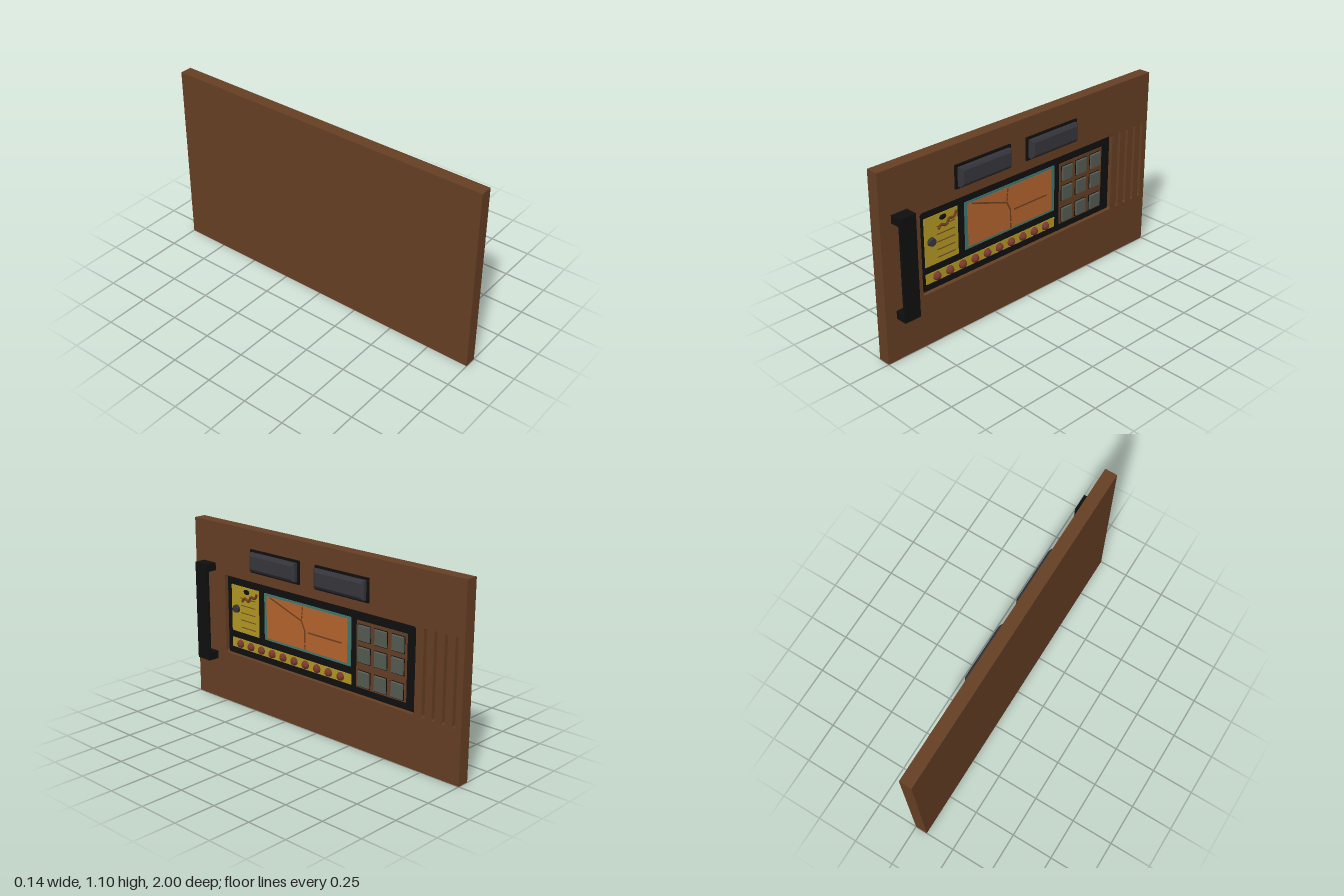
import * as THREE from 'three';

const mat = (name, color) => {
  const m = new THREE.MeshStandardMaterial({ color });
  m.name = name;
  return m;
};

export function createModel() {
  const brown = mat('brown', 0x643e23);
  const black = mat('black', 0x0f0f0f);
  const charcoal = mat('charcoal', 0x35353b);
  const yellow = mat('yellow', 0xb09722);
  const teal = mat('teal', 0x42766b);
  const orange = mat('orange', 0xb2632d);
  const line = mat('darkOrange', 0x70401f);
  const red = mat('darkRed', 0x7a382c);
  const lamp = mat('greyGreen', 0x535b51);

  const model = new THREE.Group();
  model.name = 'controlPanel';
  // Built facing +z, then turned so the face looks along +x
  const panel = new THREE.Group();
  panel.name = 'panel';
  panel.rotation.y = Math.PI / 2;
  model.add(panel);

  const add = (name, geo, m, x = 0, y = 0, z = 0) => {
    const mesh = new THREE.Mesh(geo, m);
    mesh.name = name;
    mesh.position.set(x, y, z);
    panel.add(mesh);
    return mesh;
  };
  // Box from its left, right, bottom, top, back and front limits
  const box = (name, m, x0, x1, y0, y1, z0, z1) =>
    add(name, new THREE.BoxGeometry(x1 - x0, y1 - y0, z1 - z0), m, (x0 + x1) / 2, (y0 + y1) / 2, (z0 + z1) / 2);
  // Box whose front face is drawn in by a margin
  const bevelled = (name, m, x0, x1, y0, y1, z0, z1, inset) => {
    const mesh = box(name, m, x0, x1, y0, y1, z0, z1);
    const p = mesh.geometry.attributes.position;
    for (let i = 0; i < p.count; i++) {
      if (p.getZ(i) < 0) continue;
      p.setX(i, p.getX(i) - Math.sign(p.getX(i)) * inset);
      p.setY(i, p.getY(i) - Math.sign(p.getY(i)) * inset);
    }
    mesh.geometry.computeVertexNormals();
    return mesh;
  };
  const roundRect = (path, x0, x1, y0, y1, r) => {
    path.moveTo(x0 + r, y0);
    path.lineTo(x1 - r, y0);
    path.absarc(x1 - r, y0 + r, r, -Math.PI / 2, 0);
    path.lineTo(x1, y1 - r);
    path.absarc(x1 - r, y1 - r, r, 0, Math.PI / 2);
    path.lineTo(x0 + r, y1);
    path.absarc(x0 + r, y1 - r, r, Math.PI / 2, Math.PI);
    path.lineTo(x0, y0 + r);
    path.absarc(x0 + r, y0 + r, r, Math.PI, Math.PI * 1.5);
    return path;
  };

  // Slab: solid back and a pierced front layer that forms recess and vents
  const floor = -0.026;
  box('slabBack', brown, -1, 1, 0, 1.1, -0.073, floor);
  const face = new THREE.Shape([[-1, 0], [1, 0], [1, 1.1], [-1, 1.1]].map(([x, y]) => new THREE.Vector2(x, y)));
  face.holes.push(roundRect(new THREE.Path(), -0.75, 0.695, 0.31, 0.792, 0.015));
  for (let i = 0; i < 4; i++) {
    const x = 0.755 + i * 0.066;
    face.holes.push(roundRect(new THREE.Path(), x - 0.01, x + 0.01, 0.31, 0.795, 0.009));
  }
  add('slabFront', new THREE.ExtrudeGeometry(face, { depth: -floor, bevelEnabled: false, curveSegments: 5 }), brown, 0, 0, floor);
  box('recessFloor', black, -0.748, 0.693, 0.312, 0.79, floor, floor + 0.003);

  // Yellow dial plate
  const z1 = floor + 0.007;
  box('dialPlate', yellow, -0.712, -0.484, 0.455, 0.739, floor, z1);
  const dial = add('dial', new THREE.CylinderGeometry(0.022, 0.025, 0.018, 16), charcoal, -0.669, 0.597, z1 + 0.009);
  dial.rotation.x = Math.PI / 2;
  for (let i = 0; i < 5; i++) {
    const y = 0.49 + i * 0.045;
    box('dialFin', line, -0.63, -0.51, y - 0.0015, y + 0.0015, z1, z1 + 0.006);
  }
  // Loose cable and its plug
  const cable = new THREE.CatmullRomCurve3(
    [[-0.62, 0.65], [-0.6, 0.672], [-0.565, 0.66], [-0.545, 0.69], [-0.515, 0.688], [-0.492, 0.72]]
      .map(([x, y]) => new THREE.Vector3(x, y, z1)));
  add('cable', new THREE.TubeGeometry(cable, 24, 0.009, 6), line);
  const plug = add('plug', new THREE.SphereGeometry(0.022, 12, 8), black, -0.585, 0.712, z1);
  plug.scale.set(1.1, 0.7, 0.25);

  // Yellow strip with a row of round knobs
  box('knobStrip', yellow, -0.712, 0.238, 0.353, 0.412, floor, z1);
  for (let i = 0; i < 10; i++) {
    add('knob', new THREE.SphereGeometry(0.025, 16, 12), red, -0.64 + i * 0.0892, 0.383, z1 - 0.001);
  }

  // Screen with a teal surround and map lines
  box('screenFrame', teal, -0.436, 0.235, 0.457, 0.739, floor, z1);
  box('screen', orange, -0.415, 0.211, 0.471, 0.725, z1, z1 + 0.002);
  const stroke = (x0, y0, x1, y1) => {
    const mesh = add('mapLine', new THREE.BoxGeometry(Math.hypot(x1 - x0, y1 - y0) + 0.004, 0.009, 0.002), line,
      (x0 + x1) / 2, (y0 + y1) / 2, z1 + 0.0025);
    mesh.rotation.z = Math.atan2(y1 - y0, x1 - x0);
  };
  stroke(-0.385, 0.72, -0.135, 0.637);
  stroke(-0.135, 0.637, -0.108, 0.583);
  stroke(-0.108, 0.583, -0.108, 0.515);
  stroke(-0.108, 0.5, -0.108, 0.475);
  stroke(-0.08, 0.578, 0.168, 0.578);
  for (let i = 0; i < 3; i++) stroke(-0.134 + i * 0.003, 0.648 + i * 0.027, -0.132 + i * 0.003, 0.664 + i * 0.027);

  // Keypad
  box('keypad', brown, 0.276, 0.624, 0.353, 0.733, floor, z1);
  for (const x of [0.333, 0.449, 0.566]) {
    for (const y of [0.668, 0.545, 0.408]) {
      box('keyRim', black, x - 0.045, x + 0.045, y - 0.048, y + 0.048, z1, z1 + 0.002);
      bevelled('key', lamp, x - 0.042, x + 0.042, y - 0.045, y + 0.045, z1, z1 + 0.012, 0.004);
    }
  }

  // Two large push buttons in black surrounds
  for (const x of [-0.321, 0.185]) {
    box('buttonSurround', black, x - 0.194, x + 0.194, 0.852, 0.988, 0, 0.01);
    box('buttonBase', charcoal, x - 0.18, x + 0.18, 0.867, 0.975, 0.01, 0.03);
    bevelled('buttonTop', charcoal, x - 0.18, x + 0.18, 0.867, 0.975, 0.03, 0.041, 0.016);
  }

  // Pull handle
  box('handleBar', black, -0.929, -0.827, 0.252, 0.851, 0.056, 0.07);
  box('handleFoot', black, -0.929, -0.827, 0.252, 0.299, 0, 0.057);
  box('handleFoot', black, -0.929, -0.827, 0.805, 0.851, 0, 0.057);

  return model;
}
